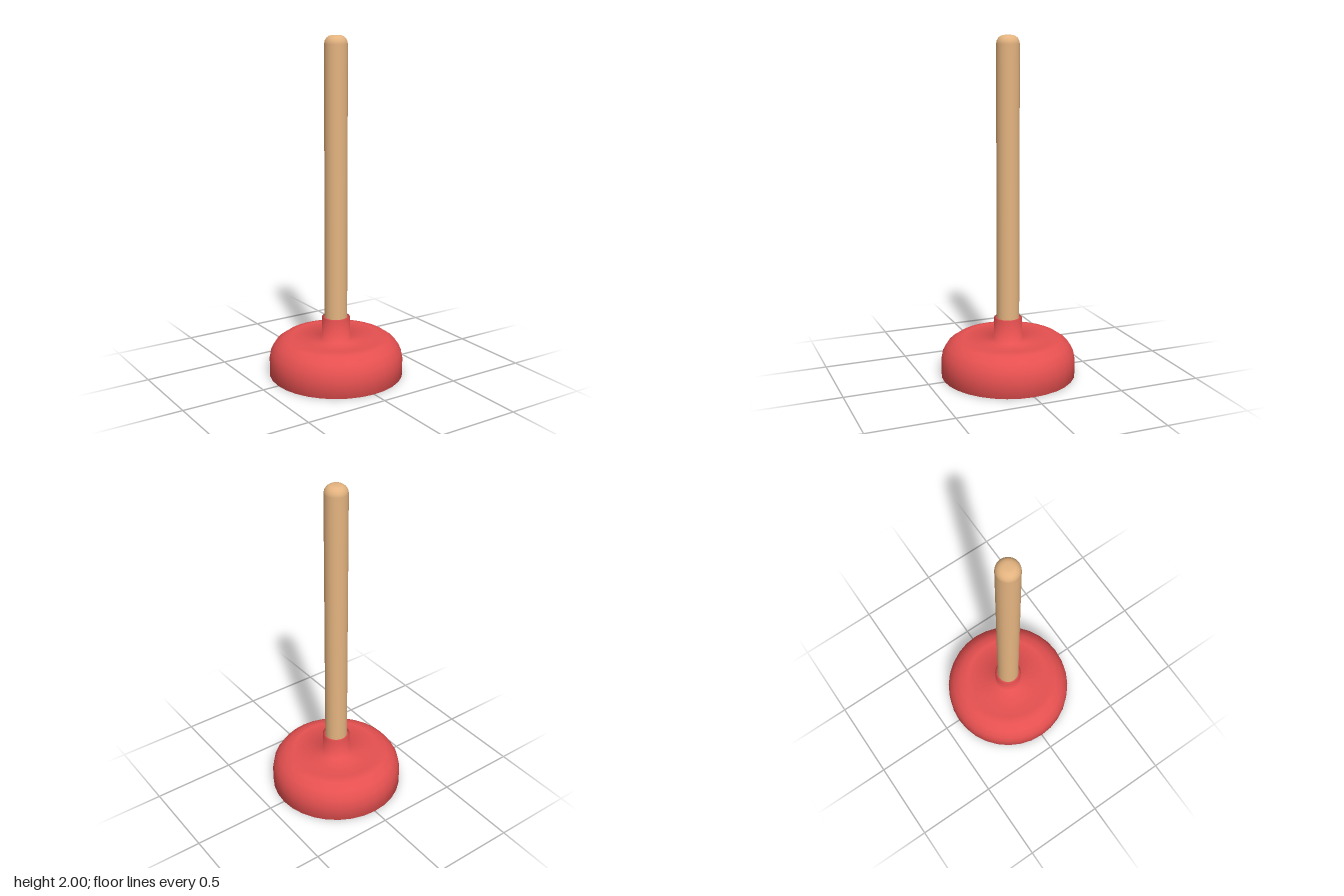
import * as THREE from 'three';

const rubber = new THREE.MeshStandardMaterial({ color: 0xe65050 });
const wood = new THREE.MeshStandardMaterial({ color: 0xe4b480 });

// Turned surface; the profile runs with the solid on its left side
function turned(name, points, material) {
  const profile = points.map(([r, y]) => new THREE.Vector2(r, y));
  const mesh = new THREE.Mesh(new THREE.LatheGeometry(profile, 32), material);
  mesh.name = name;
  return mesh;
}

// Quarter ellipse from the side (r + a, y) up to the top (r, y + b)
function shoulder(r, y, a, b, steps) {
  return Array.from({ length: steps + 1 }, (_, i) => {
    const t = (i / steps) * Math.PI / 2;
    return [r + a * Math.cos(t), y + b * Math.sin(t)];
  });
}

export function createModel() {
  const model = new THREE.Group();
  model.name = 'plunger';

  // Rubber cup in one smooth skin: hollow with a central recess, rim, outside, collar
  const cup = turned('cup', [
    [0, 0.2], [0.1, 0.195], [0.157, 0.14],
    ...shoulder(0.26, 0.05, 0.11, 0.1, 4).reverse(),
    [0.37, 0], [0.4, 0],
    ...shoulder(0.265, 0.09, 0.135, 0.14, 4),
    [0.083, 0.21], [0.083, 0.35], [0.067, 0.35],
  ], rubber);

  // Wooden handle: a small foot hidden in the collar, a rounded upper end
  const handle = turned('handle', [
    [0.08, 0.348], [0.067, 0.348],
    ...shoulder(0.022, 1.95, 0.045, 0.05, 4),
    [0, 2],
  ], wood);

  model.add(cup, handle);
  return model;
}
